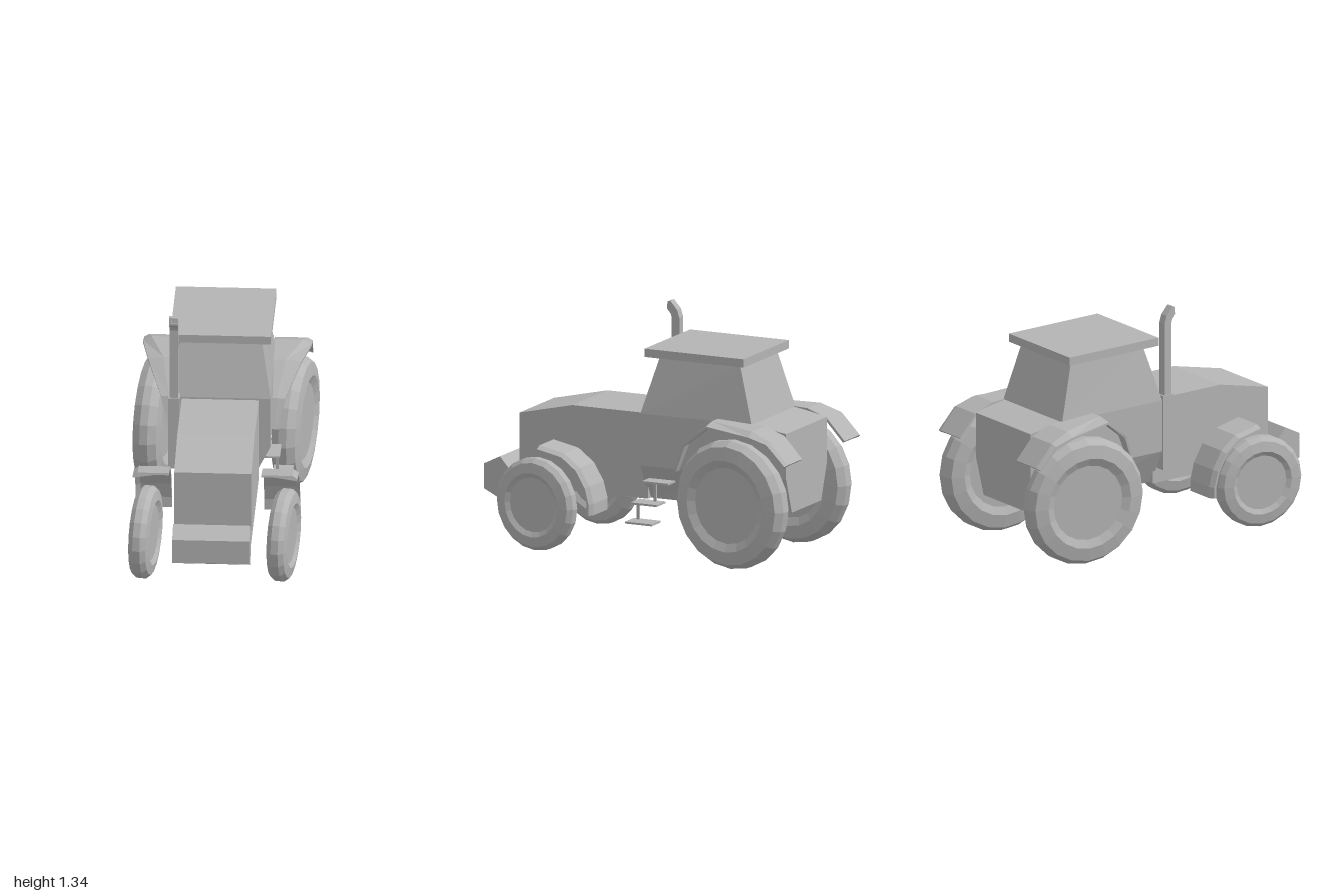
import * as THREE from 'three';

const bodyGrey = new THREE.MeshStandardMaterial({ color: 0xb4b4b4 });
bodyGrey.name = 'bodyGrey';
bodyGrey.flatShading = true;

// Closed solid through rings of equal point count, with fan caps on both ends
function loft(rings) {
  const tris = [], n = rings[0].length, last = rings[rings.length - 1];
  for (let i = 0; i < rings.length - 1; i++) {
    const a = rings[i], b = rings[i + 1];
    for (let j = 0; j < n; j++) {
      const k = (j + 1) % n;
      tris.push([a[j], a[k], b[k]], [a[j], b[k], b[j]]);
    }
  }
  for (let j = 1; j < n - 1; j++) {
    tris.push([rings[0][0], rings[0][j + 1], rings[0][j]], [last[0], last[j], last[j + 1]]);
  }
  // Signed volume tells whether the winding must be flipped
  let volume = 0;
  const v = (p) => new THREE.Vector3(...p);
  for (const [a, b, c] of tris) volume += v(a).dot(v(b).cross(v(c)));
  const pos = tris.flatMap((t) => (volume < 0 ? [t[0], t[2], t[1]] : t).flat());
  const g = new THREE.BufferGeometry();
  g.setAttribute('position', new THREE.Float32BufferAttribute(pos, 3));
  g.computeVertexNormals();
  return g;
}

// Solid of constant width from a side profile of [z, y] points
function sideExtrude(points, halfWidth) {
  const shape = new THREE.Shape(points.map(([z, y]) => new THREE.Vector2(z, y)));
  return new THREE.ExtrudeGeometry(shape, { depth: 2 * halfWidth, bevelEnabled: false })
    .translate(0, 0, -halfWidth).rotateY(-Math.PI / 2);
}

function box(x0, x1, y0, y1, z0, z1) {
  return new THREE.BoxGeometry(x1 - x0, y1 - y0, z1 - z0)
    .translate((x0 + x1) / 2, (y0 + y1) / 2, (z0 + z1) / 2);
}

// Wheel: half profile of [radius, half width], mirrored and spun about x
function wheel(half) {
  const pts = [[0, half[0][1]], ...half];
  const profile = [...pts.map(([r, w]) => [r, -w]), ...pts.reverse()];
  return new THREE.LatheGeometry(profile.map(([r, w]) => new THREE.Vector2(r, w)), 20)
    .rotateX(Math.PI / 20).rotateZ(-Math.PI / 2);
}

// Curved mudguard: path of [z, y, innerX, edgeX, outerX, drop]; drop lowers the outer lip
function mudguard(path, thickness, s) {
  return loft(path.map(([z, y, inner, edge, outer, drop], i) => {
    const a = path[Math.max(i - 1, 0)], b = path[Math.min(i + 1, path.length - 1)];
    const len = Math.hypot(b[0] - a[0], b[1] - a[1]);
    const nz = (b[1] - a[1]) / len, ny = -(b[0] - a[0]) / len;
    const at = (x, d) => [s * x, y - ny * d, z - nz * d];
    return [at(inner, 0), at(edge, 0), at(outer, drop),
      at(outer, drop + thickness), at(edge, thickness), at(inner, thickness)];
  }));
}

export function createModel() {
  const model = new THREE.Group();
  const add = (name, geometry, x = 0, y = 0, z = 0) => {
    const m = new THREE.Mesh(geometry, bodyGrey);
    m.name = name;
    m.position.set(x, y, z);
    model.add(m);
  };

  // Engine hood and front ballast
  add('engineHood', sideExtrude([[-0.02, 0.32], [0.78, 0.32], [0.78, 0.73], [0.45, 0.805], [-0.02, 0.805]], 0.215));
  add('frontBallast', sideExtrude([[0.77, 0.32], [0.82, 0.32], [0.9, 0.23], [1, 0.28], [1, 0.42],
    [0.9, 0.47], [0.83, 0.39], [0.77, 0.39]], 0.215));

  // Rear body with sides tapering in towards the floor
  add('rearBody', loft([[-0.005, 0.28, 0.815], [-0.69, 0.27, 0.815], [-0.895, 0.25, 0.78]].map(([z, w, top]) => [
    [-w, top, z], [-w, 0.52, z], [-0.18, 0.32, z], [0.18, 0.32, z], [w, 0.52, z], [w, top, z]])));

  // Cabin and roof
  add('cabin', loft([
    [[0.28, 0.815, -0.005], [0.27, 0.815, -0.69], [-0.27, 0.815, -0.69], [-0.28, 0.815, -0.005]],
    [[0.225, 1.14, -0.1], [0.225, 1.14, -0.595], [-0.225, 1.14, -0.595], [-0.225, 1.14, -0.1]]]));
  add('roof', box(-0.28, 0.28, 1.138, 1.185, -0.645, -0.03));

  // Exhaust: box housing and square pipe bending forward, hollow at the mouth
  add('exhaustHousing', box(-0.285, -0.222, 0.41, 0.84, 0, 0.07));
  const ring = (w, za, ya, zb, yb) => [[-0.255 - w, ya, za], [-0.255 + w, ya, za],
    [-0.255 + w, yb, zb], [-0.255 - w, yb, zb]];
  add('exhaustPipe', loft([
    ring(0.024, 0.06, 0.83, 0.012, 0.83), ring(0.024, 0.06, 1.255, 0.012, 1.255),
    ring(0.024, 0.066, 1.275, 0.027, 1.3), ring(0.024, 0.086, 1.298, 0.068, 1.347),
    ring(0.024, 0.089, 1.3, 0.086, 1.342),
    ring(0.012, 0.089, 1.308, 0.086, 1.334), ring(0.012, 0.07, 1.303, 0.068, 1.325)]));

  // Wheels and mudguards on both sides
  const rearGuard = [
    [-0.23, 0.52, 0.26, 0.29, 0.315, 0.0], [-0.295, 0.68, 0.26, 0.3, 0.345, 0.005],
    [-0.48, 0.83, 0.26, 0.34, 0.425, 0.015], [-0.77, 0.815, 0.26, 0.42, 0.468, 0.025],
    [-0.89, 0.77, 0.26, 0.44, 0.468, 0.015], [-1, 0.65, 0.26, 0.44, 0.465, 0.01]];
  const frontGuard = [[0.545, 0.61], [0.39, 0.577], [0.295, 0.505], [0.235, 0.405], [0.21, 0.31], [0.21, 0.245]]
    .map(([z, y]) => [z, y, 0.257, 0.43, 0.457, 0.018]);
  for (const [side, s] of [['left', 1], ['right', -1]]) {
    add(side + 'RearWheel', wheel([[0.215, 0.058], [0.26, 0.08], [0.335, 0.066], [0.363, 0.022]]),
      s * 0.386, 0.383, -0.632);
    add(side + 'FrontWheel', wheel([[0.155, 0.042], [0.182, 0.058], [0.238, 0.048], [0.261, 0.02]]),
      s * 0.384, 0.266, 0.584);
    add(side + 'RearMudguard', mudguard(rearGuard, 0.014, s));
    add(side + 'FrontMudguard', mudguard(frontGuard, 0.012, s));
  }

  // Entry steps on the left, joined by two posts
  add('upperStep', box(0.22, 0.33, 0.434, 0.445, -0.2, -0.04));
  add('middleStep', box(0.29, 0.4, 0.323, 0.334, -0.165, -0.005));
  add('lowerStep', box(0.32, 0.43, 0.218, 0.229, -0.15, 0.015));
  add('upperStepPost', box(0.305, 0.32, 0.33, 0.44, -0.122, -0.108));
  add('lowerStepPost', box(0.33, 0.345, 0.22, 0.33, -0.028, -0.014));
  return model;
}
